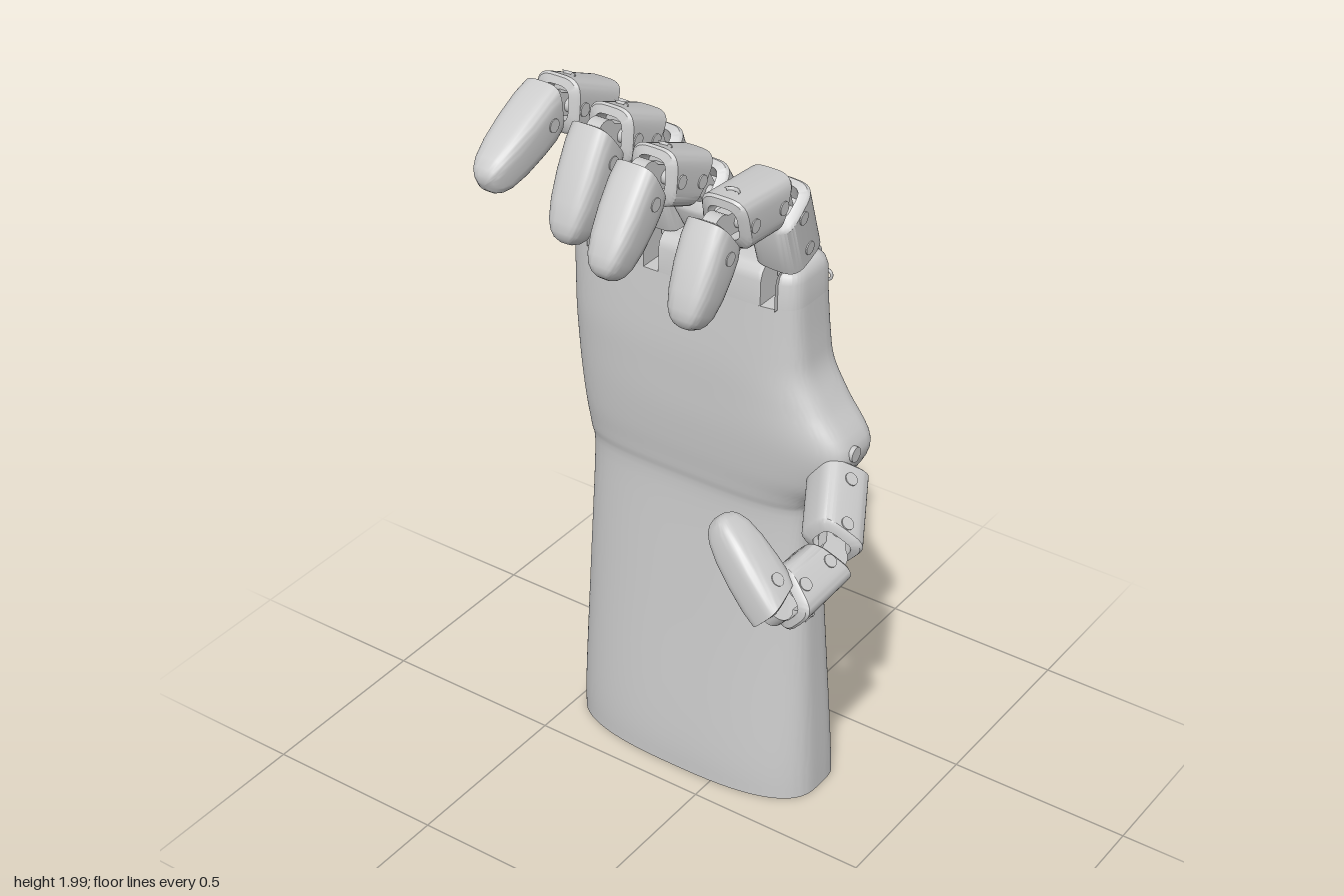
import * as THREE from 'three';
import { toCreasedNormals } from 'three/addons/utils/BufferGeometryUtils.js';

const V = (x, y, z) => new THREE.Vector3(x, y, z);
const mat = new THREE.MeshStandardMaterial({ color: 0xcccccc });
const matInside = new THREE.MeshStandardMaterial({ color: 0xcccccc, side: THREE.DoubleSide });

function add(parent, name, geo, material = mat) {
  const m = new THREE.Mesh(geo, material);
  m.name = name;
  parent.add(m);
  return m;
}

// Skin over equal-length closed rings, stacked upwards
function loft(rings, capStart = true, capEnd = true, crease = 0.65) {
  const n = rings[0].length, pos = [], idx = [];
  rings.forEach(r => r.forEach(p => pos.push(p.x, p.y, p.z)));
  for (let i = 0; i < rings.length - 1; i++) {
    for (let j = 0; j < n; j++) {
      const a = i * n + j, b = i * n + (j + 1) % n;
      idx.push(a, a + n, b, b, a + n, b + n);
    }
  }
  const cap = (k, up) => {
    const c = rings[k].reduce((s, p) => s.add(p), V(0, 0, 0)).divideScalar(n);
    const ci = pos.push(c.x, c.y, c.z) / 3 - 1;
    for (let j = 0; j < n; j++) {
      const a = k * n + j, b = k * n + (j + 1) % n;
      idx.push(ci, up ? b : a, up ? a : b);
    }
  };
  if (capStart) cap(0, false);
  if (capEnd) cap(rings.length - 1, true);
  const g = new THREE.BufferGeometry();
  g.setAttribute('position', new THREE.Float32BufferAttribute(pos, 3));
  g.setIndex(idx);
  return toCreasedNormals(g, crease);
}

const spow = (v, e) => Math.sign(v) * Math.pow(Math.abs(v), e);

// Forearm and palm: height, right edge, left edge, back, front, roundness of front
const rows = [
  [0, -0.485, 0.245, -0.335, -0.065, 0.75],
  [0.13, -0.482, 0.24, -0.331, -0.068, 0.75],
  [0.5, -0.465, 0.22, -0.31, -0.1, 0.7],
  [0.84, -0.445, 0.205, -0.288, -0.125, 0.6],
  [0.92, -0.45, 0.222, -0.292, -0.12, 0.55],
  [1.0, -0.457, 0.292, -0.3, -0.11, 0.5],
  [1.1, -0.467, 0.335, -0.31, -0.102, 0.5],
  [1.2, -0.474, 0.265, -0.318, -0.1, 0.5],
  [1.28, -0.476, 0.218, -0.321, -0.1, 0.48],
  [1.36, -0.476, 0.203, -0.322, -0.104, 0.45],
  [1.47, -0.476, 0.194, -0.32, -0.112, 0.4],
];

function handSection([y, xl, xr, zb, zf, e], lo = -9, hi = 9, n = 128) {
  const cx = (xl + xr) / 2, hx = (xr - xl) / 2, zm = zb * 0.55 + zf * 0.45;
  return Array.from({ length: n }, (_, i) => {
    const t = (i / n) * Math.PI * 2, s = Math.sin(t), c = Math.cos(t);
    const ex = s > 0 ? e : 0.4;
    const x = cx + hx * spow(c, ex);
    const z = zm + (s > 0 ? zf - zm : zm - zb) * spow(s, ex);
    return V(THREE.MathUtils.clamp(x, lo, hi), y, z);
  });
}

function buildHandBody(root, slots) {
  const g = new THREE.Group();
  g.name = 'forearmAndPalm';
  root.add(g);
  const curves = [1, 2, 3, 4, 5].map(c => new THREE.SplineCurve(rows.map(r => new THREE.Vector2(r[0], r[c]))));
  const rings = [];
  for (let i = 0; i <= 50; i++) {
    const pts = curves.map(c => c.getPoint(i / 50));
    rings.push(handSection([pts[0].x, ...pts.map(p => p.y)]));
  }
  add(g, 'body', loft(rings, false, true));

  // Base plate with a mounting socket and four screw holes
  const shape = new THREE.Shape(handSection(rows[0]).map(p => new THREE.Vector2(p.x, p.z)));
  const holes = [[-0.12, -0.2, 0.09, 0.1]];
  for (const x of [-0.4, 0.16]) for (const z of [-0.165, -0.25]) holes.push([x, z, 0.022, 0.04]);
  for (const [x, z, r, depth] of holes) {
    shape.holes.push(new THREE.Path().absarc(x, z, r, 0, Math.PI * 2, true));
    const wall = add(g, 'socketWall', new THREE.CylinderGeometry(r, r, depth, 32, 1, true), matInside);
    wall.position.set(x, depth / 2, z);
    const floor = add(g, 'socketFloor', new THREE.CircleGeometry(r, 32).rotateX(Math.PI / 2));
    floor.position.set(x, depth, z);
  }
  add(g, 'basePlate', new THREE.ShapeGeometry(shape, 16).rotateX(Math.PI / 2));
  add(g, 'socketPost', new THREE.CylinderGeometry(0.04, 0.04, 0.07, 24)).position.set(-0.12, 0.065, -0.2);

  // Knuckle blocks between the finger slots
  const [, xl, xr, zb, zf, e] = rows[rows.length - 1], hs = 0.022;
  const edges = [-9, ...slots.flatMap(x => [x - hs, x + hs]), 9];
  for (let i = 0; i < edges.length; i += 2) {
    const levels = [[1.47, 0], [1.535, 0.002], [1.555, 0.008], [1.567, 0.02], [1.572, 0.036]];
    add(g, 'knuckleBlock', loft(levels.map(([y, d]) =>
      handSection([y, xl + d, xr - d, zb + d, zf - d, e], edges[i], edges[i + 1]))));
    const a = Math.max(edges[i], xl + 0.07), b = Math.min(edges[i + 1], xr - 0.02);
    add(g, 'knuckleScrew', new THREE.TorusGeometry(0.013, 0.004, 8, 20)).position.set((a + b) / 2, 1.48, zb);
  }
  const bolt = add(g, 'thumbBolt', new THREE.CylinderGeometry(0.02, 0.02, 0.03, 20).rotateZ(Math.PI / 2));
  bolt.position.set(0.325, 1.1, -0.19);
}

// Group at p with y along p-q, x along the hinge and z to the palm side
function frame(parent, name, p, q, hinge) {
  const d = q.clone().sub(p), len = d.length();
  d.normalize();
  const z = hinge.clone().cross(d).normalize(), x = d.clone().cross(z);
  const g = new THREE.Group();
  g.name = name;
  g.position.copy(p);
  g.quaternion.setFromRotationMatrix(new THREE.Matrix4().makeBasis(x, d, z));
  parent.add(g);
  return [g, len];
}

// Rounded digit section; slant shortens the palm side
function digitRing(y, w, t, slant = 0, zOff = 0) {
  return Array.from({ length: 40 }, (_, i) => {
    const a = (i / 40) * Math.PI * 2;
    const z = t * spow(Math.sin(a), 0.55);
    return V(w * spow(Math.cos(a), 0.55), y + slant * (z + t), z + zOff);
  });
}

// Shell open at both ends for the hinge links
function phalanx(g, len, start, w, t, s0, s1) {
  const end = len - 0.02, inner = 0.62, r = 0.006;
  add(g, 'shell', loft([
    digitRing(start + 0.045, w * inner, t * inner, s0),
    digitRing(start, w * inner, t * inner, s0),
    digitRing(start, w - r, t - r, s0),
    digitRing(start + r, w, t, s0),
    digitRing(end - r, w, t, -s1),
    digitRing(end, w - r, t - r, -s1),
    digitRing(end, w * inner, t * inner, -s1),
    digitRing(end - 0.045, w * inner, t * inner, -s1),
  ]));
  for (const y of [start + 0.045, end - 0.045]) {
    add(g, 'hingePin', new THREE.CylinderGeometry(0.017, 0.017, 2 * w + 0.006, 20).rotateZ(Math.PI / 2)).position.y = y;
  }
  const guide = add(g, 'tendonGuide', new THREE.TorusGeometry(0.016, 0.006, 8, 16, Math.PI));
  guide.position.set(0, end - 0.035, -t);
  guide.rotation.z = Math.PI;
}

// Tapered fingertip
function fingertip(g, len, w, t) {
  const profile = [[0.12, 1], [0.4, 0.98], [0.65, 0.9], [0.83, 0.77], [0.92, 0.62], [0.97, 0.45], [1, 0.2]];
  add(g, 'tip', loft([
    digitRing(0.03, w * 0.6, t * 0.6, 0.4),
    digitRing(-0.012, w * 0.6, t * 0.6, 0.4),
    digitRing(-0.012, w * 0.95, t * 0.95, 0.4),
    ...profile.map(([f, s], i) => digitRing(f * len, w * s, t * s, i ? 0 : 0.25)),
  ], true, true, 0.8));
  add(g, 'hingePin', new THREE.CylinderGeometry(0.017, 0.017, 2 * w + 0.004, 20).rotateZ(Math.PI / 2)).position.y = 0.055;
}

function digit(root, name, pts, hinge, w, t, start) {
  const g = new THREE.Group();
  g.name = name;
  root.add(g);
  const parts = ['proximalSegment', 'middleSegment', 'distalSegment'];
  parts.forEach((part, i) => {
    const [f, len] = frame(g, part, pts[i], pts[i + 1], hinge);
    if (i < 2) phalanx(f, len, i ? 0.02 : start, w, t, i ? 0.3 : 0, 0.3);
    else fingertip(f, len, w * 0.93, t * 0.94);
    // Hinge barrel and the link arms into both neighbours
    add(f, 'hingeBarrel', new THREE.CylinderGeometry(0.036, 0.036, 0.038, 24).rotateZ(Math.PI / 2));
    add(f, 'linkArm', new THREE.BoxGeometry(0.036, 0.1, 0.055)).position.y = 0.05;
    if (i < 2) add(f, 'linkArm', new THREE.BoxGeometry(0.036, 0.1, 0.055)).position.y = len - 0.05;
  });
}

export function createModel() {
  const root = new THREE.Group();
  root.name = 'mechanicalHand';

  // Per finger: slot x, tip x, then (y, z) of both joints and the tip
  const fingers = [
    ['littleFinger', -0.38, -0.38, [1.84, -0.16], [1.935, 0.055], [1.82, 0.295]],
    ['ringFinger', -0.21, -0.21, [1.835, -0.11], [1.915, 0.08], [1.69, 0.215]],
    ['middleFinger', -0.045, -0.045, [1.8, -0.06], [1.885, 0.14], [1.69, 0.295]],
    ['indexFinger', 0.125, 0.145, [1.79, -0.115], [1.805, 0.13], [1.6, 0.245]],
  ];
  buildHandBody(root, fingers.map(f => f[1]));
  for (const [name, x0, x1, ...joints] of fingers) {
    const pts = [V(x0, 1.535, -0.22), ...joints.map(([y, z]) => V(x1, y, z))];
    digit(root, name, pts, V(1, 0, 0), 0.064, 0.068, 0.06);
  }

  // Thumb, curling across the palm
  digit(root, 'thumb', [V(0.285, 1.05, -0.2), V(0.4, 0.94, 0.01), V(0.4, 0.93, 0.245), V(0.215, 1.1, 0.21)],
    V(-0.65, -0.76, 0).normalize(), 0.062, 0.066, 0.03);
  return root;
}
